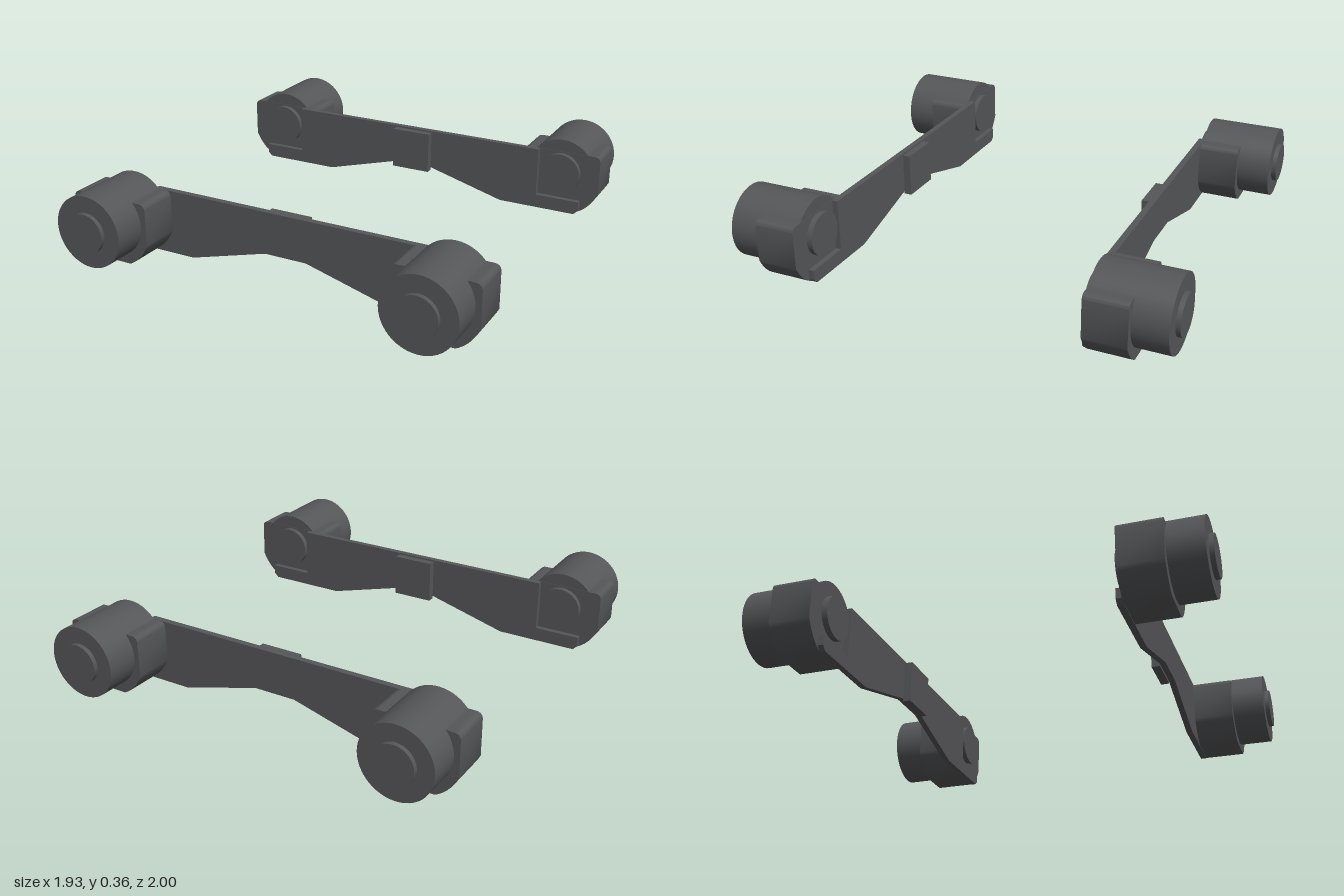
import * as THREE from 'three';
import { toCreasedNormals } from 'three/addons/utils/BufferGeometryUtils.js';

const material = new THREE.MeshStandardMaterial({ color: 0x555658 });
const HUB_X = 0.775, HUB_Y = 0.195;

function add(parent, name, geometry) {
  const mesh = new THREE.Mesh(geometry, material);
  mesh.name = name;
  parent.add(mesh);
  return mesh;
}

// Extrude a front-view outline from z0 to z1
function slab(shape, z0, z1) {
  const g = new THREE.ExtrudeGeometry(shape, { depth: z1 - z0, bevelEnabled: false, curveSegments: 8 });
  g.translate(0, 0, z0);
  return toCreasedNormals(g, 0.5);
}

// Round drum along z
function drum(r, z0, z1) {
  const g = new THREE.CylinderGeometry(r, r, z1 - z0, 48);
  g.rotateX(Math.PI / 2);
  g.translate(0, 0, (z0 + z1) / 2);
  return g;
}

// Housing outline: small rounded top corners, broad curved bottom corners
function housingShape() {
  const w = 0.19, top = 0.30, r = 0.03;
  const s = new THREE.Shape();
  s.moveTo(-0.09, 0.003);
  s.lineTo(0.09, 0.003);
  s.quadraticCurveTo(0.15, 0.03, w, 0.11);
  s.lineTo(w, top - r);
  s.quadraticCurveTo(w, top, w - r, top);
  s.lineTo(-w + r, top);
  s.quadraticCurveTo(-w, top, -w, top - r);
  s.lineTo(-w, 0.11);
  s.quadraticCurveTo(-0.15, 0.03, -0.09, 0.003);
  return s;
}

// Side plate outline: arched underside, ends notched down to a low lip
function plateShape() {
  const half = [[0.1, 0.105], [0.48, 0], [0.86, 0], [0.88, 0.02], [0.88, 0.065], [0.665, 0.065], [0.665, 0.30]];
  const mirrored = half.map(([x, y]) => [-x, y]).reverse();
  return new THREE.Shape([...half, ...mirrored].map(([x, y]) => new THREE.Vector2(x, y)));
}

// One complete side frame, facing +z
function sideFrame(name) {
  const frame = new THREE.Group();
  frame.name = name;
  add(frame, 'sidePlate', slab(plateShape(), 0.617, 0.645));
  add(frame, 'centreBlock', new THREE.BoxGeometry(0.196, 0.2, 0.037)).position.set(0, 0.192, 0.5995);

  for (const side of [1, -1]) {
    const unit = new THREE.Group();
    unit.name = side > 0 ? 'leftAxleUnit' : 'rightAxleUnit';
    unit.position.x = side * HUB_X;
    add(unit, 'housing', slab(housingShape(), 0.643, 0.83));
    add(unit, 'drum', drum(0.165, 0.645, 0.98)).position.y = HUB_Y;
    add(unit, 'outerCap', drum(0.09, 0.97, 1.0)).position.y = HUB_Y;
    add(unit, 'innerCap', drum(0.098, 0.617, 0.65)).position.y = HUB_Y;
    frame.add(unit);
  }
  return frame;
}

export function createModel() {
  const model = new THREE.Group();
  model.name = 'axleFrames';
  const front = sideFrame('frontFrame');
  const back = sideFrame('backFrame');
  back.rotation.y = Math.PI;
  model.add(front, back);
  return model;
}
